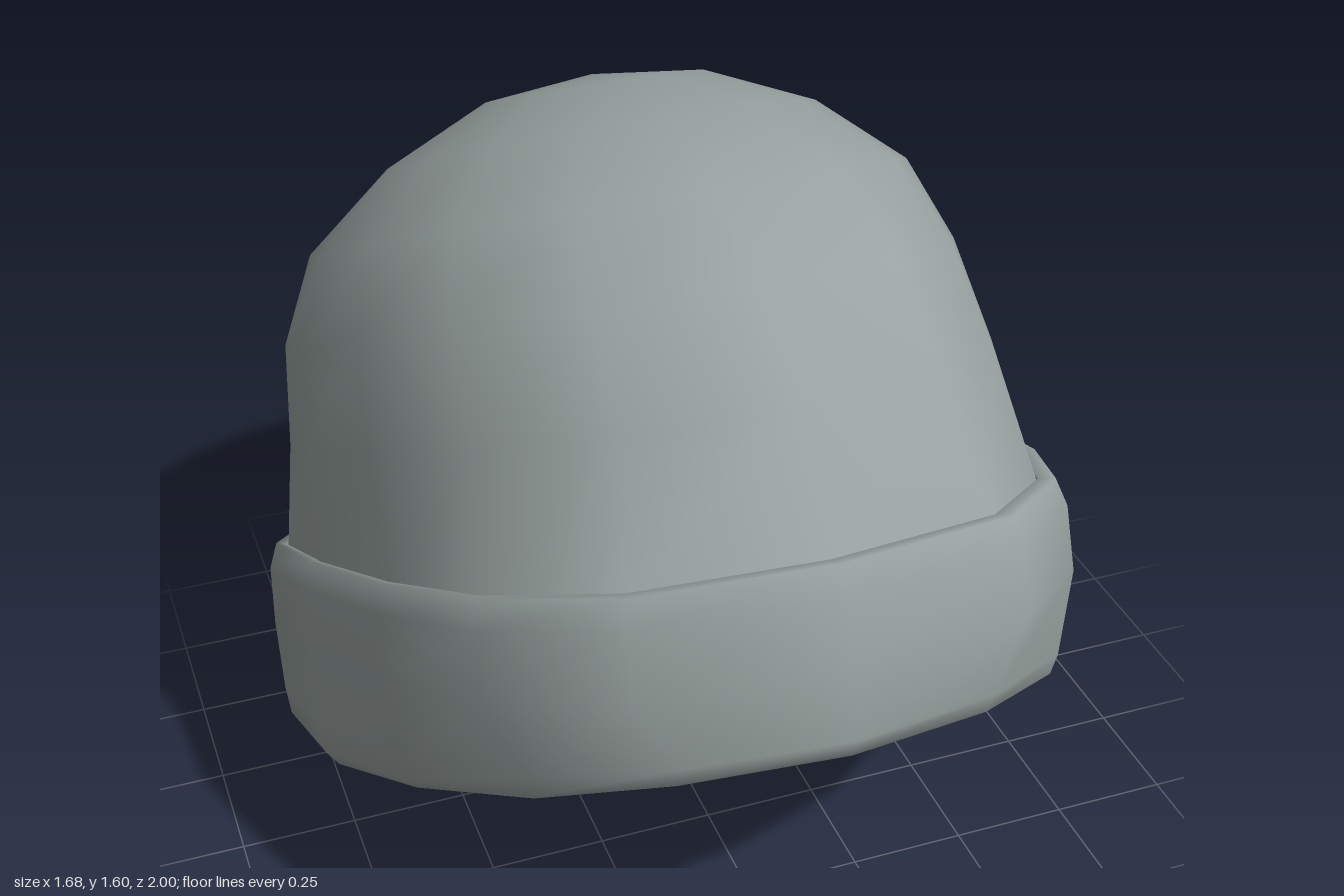
import * as THREE from 'three';
import { mergeVertices } from 'three/addons/utils/BufferGeometryUtils.js';

const SEGMENTS = 16;
const { lerp } = THREE.MathUtils;

// Half-outlines from front to back: share of the half width, and share of the length
const DOME = {
  side: [0, 0.41, 0.695, 0.875, 0.955, 0.975, 0.815, 0.455, 0],
  along: [0, 0.045, 0.172, 0.34, 0.525, 0.63, 0.785, 0.925, 1],
};
const BAND = {
  side: [0, 0.46, 0.725, 0.87, 0.965, 1, 0.78, 0.46, 0],
  along: [0, 0.042, 0.168, 0.333, 0.525, 0.68, 0.865, 0.962, 1],
};
const HEM = {
  side: [0, 0.37, 0.65, 0.85, 0.975, 1, 0.72, 0.425, 0],
  along: [0, 0.045, 0.145, 0.32, 0.505, 0.69, 0.82, 0.925, 1],
};

// One tilted ring, spanned by its front and back points [z, y]
function ringPoints({ front, back, width, sag = 0, outline = BAND, round = 0 }) {
  const points = [];
  for (let j = 0; j < SEGMENTS; j++) {
    const k = Math.min(j, SEGMENTS - j);
    const a = (k / SEGMENTS) * Math.PI * 2;
    const s = Math.sin(a);
    const side = lerp(outline.side[k], s, round);
    const t = lerp(outline.along[k], (1 - Math.cos(a)) / 2, round);
    points.push(
      (j === k ? 1 : -1) * width * side,
      lerp(front[1], back[1], t) + sag * s * s,
      lerp(front[0], back[0], t)
    );
  }
  return points;
}

// Skin over a stack of rings
function loft(rings) {
  const index = [];
  for (let i = 0; i < rings.length - 1; i++) {
    for (let j = 0; j < SEGMENTS; j++) {
      const a = i * SEGMENTS + j, b = i * SEGMENTS + (j + 1) % SEGMENTS;
      const c = b + SEGMENTS, d = a + SEGMENTS;
      index.push(a, b, c, a, c, d);
    }
  }
  const geometry = new THREE.BufferGeometry();
  geometry.setAttribute('position', new THREE.Float32BufferAttribute(rings.flatMap(ringPoints), 3));
  geometry.setIndex(index);
  const merged = mergeVertices(geometry, 1e-4);
  merged.computeVertexNormals();
  return merged;
}

export function createModel() {
  const wool = new THREE.MeshStandardMaterial({ color: 0x98a2a0, side: THREE.DoubleSide });
  wool.name = 'greyWool';

  const group = new THREE.Group();
  group.name = 'knitCap';
  const add = (name, rings) => {
    const mesh = new THREE.Mesh(loft(rings), wool);
    mesh.name = name;
    group.add(mesh);
  };

  // Domed crown leaning backwards, closing at its pole
  add('crown', [
    { front: [0.84, 1.10], back: [-0.84, 0.30], width: 0.785 },
    { front: [0.68, 1.33], back: [-0.94, 0.48], width: 0.77, outline: DOME },
    { front: [0.48, 1.48], back: [-1.00, 0.68], width: 0.74, outline: DOME },
    { front: [0.27, 1.57], back: [-0.98, 0.90], width: 0.66, outline: DOME, round: 0.25 },
    { front: [0.00, 1.595], back: [-0.87, 1.14], width: 0.47, outline: DOME, round: 0.7 },
    { front: [-0.28, 1.56], back: [-0.70, 1.35], width: 0.24, outline: DOME, round: 1 },
    { front: [-0.50, 1.48], back: [-0.50, 1.48], width: 0 },
  ]);

  // Folded cuff: inner wall, bottom rim, outer wall and rolled top lip
  add('cuff', [
    { front: [0.82, 1.10], back: [-0.82, 0.31], width: 0.775 },
    { front: [0.925, 0.79], back: [-0.64, 0.04], width: 0.80, sag: -0.07, outline: HEM },
    { front: [0.955, 0.755], back: [-0.635, 0.00], width: 0.815, sag: -0.07, outline: HEM },
    { front: [0.975, 0.765], back: [-0.72, 0.01], width: 0.835, sag: -0.07, outline: HEM },
    { front: [1.00, 0.82], back: [-0.76, 0.06], width: 0.84, sag: -0.06, outline: HEM },
    { front: [0.965, 0.955], back: [-0.825, 0.15], width: 0.84, sag: -0.01 },
    { front: [0.93, 1.09], back: [-0.88, 0.24], width: 0.83 },
    { front: [0.89, 1.135], back: [-0.87, 0.305], width: 0.81 },
    { front: [0.84, 1.11], back: [-0.84, 0.305], width: 0.785 },
  ]);

  return group;
}
